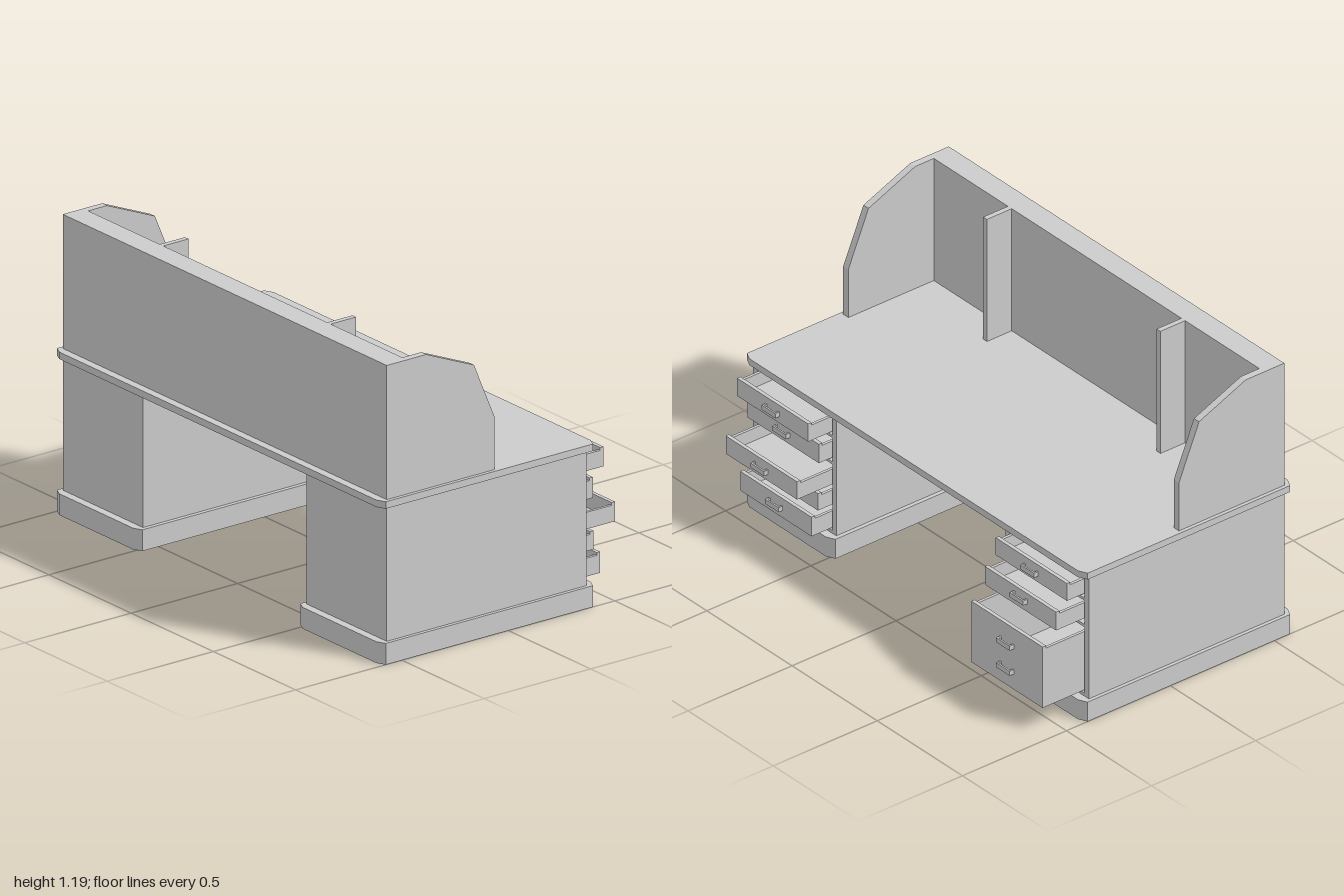
import * as THREE from 'three';

const material = new THREE.MeshStandardMaterial({ color: 0xcccccc, flatShading: true });

function add(parent, geometry, name) {
  const mesh = new THREE.Mesh(geometry, material);
  mesh.name = name;
  parent.add(mesh);
  return mesh;
}

// Box given by its minimum and maximum along each axis
function box(parent, name, x0, x1, y0, y1, z0, z1) {
  const mesh = add(parent, new THREE.BoxGeometry(x1 - x0, y1 - y0, z1 - z0), name);
  mesh.position.set((x0 + x1) / 2, (y0 + y1) / 2, (z0 + z1) / 2);
  return mesh;
}

function polygon(points) {
  return new THREE.Shape(points.map(([x, y]) => new THREE.Vector2(x, y)));
}

// Horizontal slab with its four corners cut off
function slab(parent, name, x0, x1, y0, y1, z0, z1) {
  const cx = 0.017, cz = 0.036;
  const shape = polygon([
    [x0 + cx, -z1], [x1 - cx, -z1], [x1, -z1 + cz], [x1, -z0 - cz],
    [x1 - cx, -z0], [x0 + cx, -z0], [x0, -z0 - cz], [x0, -z1 + cz],
  ]);
  const geometry = new THREE.ExtrudeGeometry(shape, { depth: y1 - y0, bevelEnabled: false });
  geometry.rotateX(-Math.PI / 2);
  add(parent, geometry, name).position.y = y0;
}

// U-shaped pull standing out from a drawer front at x
function handle(parent, x, y, z) {
  const w = 0.04, t = 0.007, h = 0.01, out = 0.02;
  const shape = polygon([
    [0, -w], [out, -w], [out, w], [0, w], [0, w - t], [out - t, w - t], [out - t, t - w], [0, t - w],
  ]);
  const geometry = new THREE.ExtrudeGeometry(shape, { depth: 2 * h, bevelEnabled: false });
  geometry.rotateX(-Math.PI / 2);
  add(parent, geometry, 'drawerHandle').position.set(x, y - h, z);
}

// Open-topped drawer whose front face is at x
function drawer(parent, x, y0, y1, z, handles) {
  const group = new THREE.Group();
  group.name = 'drawer';
  const half = 0.209, t = 0.012, back = x - 0.85, front = x - 0.016, top = y1 - 0.011;
  box(group, 'drawerFront', front, x, y0, y1, z - half, z + half);
  box(group, 'drawerBottom', back, front, y0, y0 + t, z - half, z + half);
  box(group, 'drawerBack', back, back + t, y0 + t, top, z - half, z + half);
  for (const s of [-1, 1]) {
    const a = z + s * half, b = z + s * (half - t);
    box(group, 'drawerSide', back + t, front, y0 + t, top, Math.min(a, b), Math.max(a, b));
  }
  handles.forEach((y) => handle(group, x, y, z));
  parent.add(group);
}

// Hollow cabinet on a plinth, on side s of the desk
function pedestal(s, drawers) {
  const group = new THREE.Group();
  group.name = s > 0 ? 'leftPedestal' : 'rightPedestal';
  const part = (name, x0, x1, y0, y1, a, b) =>
    box(group, name, x0, x1, y0, y1, Math.min(s * a, s * b), Math.max(s * a, s * b));
  slab(group, 'plinth', -0.593, 0.415, 0, 0.085, s > 0 ? 0.48 : -1, s > 0 ? 1 : -0.48);
  part('outerSide', -0.56, 0.38, 0.085, 0.605, 0.96, 0.985);
  part('innerSide', -0.56, 0.38, 0.085, 0.605, 0.497, 0.518);
  part('cabinetBack', -0.56, -0.54, 0.085, 0.605, 0.518, 0.96);
  part('cabinetFloor', -0.54, 0.38, 0.085, 0.098, 0.518, 0.96);
  for (const y of [0.387, 0.503]) part('drawerRail', -0.54, 0.38, y, y + 0.012, 0.518, 0.96);
  for (const [x, y0, y1, ...handles] of drawers) drawer(group, x, y0, y1, s * 0.739, handles);
  return group;
}

export function createModel() {
  const desk = new THREE.Group();
  desk.name = 'desk';

  // Worktop with a thinner board beneath it
  slab(desk, 'worktop', -0.593, 0.415, 0.622, 0.65, -1, 1);
  box(desk, 'underBoard', -0.56, 0.38, 0.602, 0.622, -0.985, 0.985);

  // Pedestals; each drawer is front x, bottom, top, handle heights
  desk.add(pedestal(1, [
    [0.488, 0.524, 0.602, 0.563],
    [0.437, 0.41, 0.493, 0.451],
    [0.542, 0.292, 0.37, 0.331],
    [0.441, 0.204, 0.278, 0.24],
    [0.472, 0.103, 0.187, 0.145],
  ]));
  desk.add(pedestal(-1, [
    [0.455, 0.526, 0.602, 0.563],
    [0.507, 0.417, 0.497, 0.462],
    [0.572, 0.103, 0.37, 0.29, 0.18],
  ]));

  // Upper screen: thick back, shaped ends and two upright dividers
  const screen = new THREE.Group();
  screen.name = 'upperScreen';
  box(screen, 'screenBack', -0.56, -0.464, 0.65, 1.185, -0.955, 0.955);
  const profile = polygon([
    [-0.56, 0.65], [-0.053, 0.65], [-0.053, 0.86], [-0.15, 1.09], [-0.375, 1.185], [-0.56, 1.185],
  ]);
  for (const s of [-1, 1]) {
    const end = new THREE.ExtrudeGeometry(profile, { depth: 0.03, bevelEnabled: false });
    add(screen, end, 'screenEnd').position.z = s > 0 ? 0.955 : -0.985;
    box(screen, 'screenDivider', -0.464, -0.345, 0.65, 1.185, s * 0.509 - 0.011, s * 0.509 + 0.011);
  }
  desk.add(screen);

  return desk;
}
